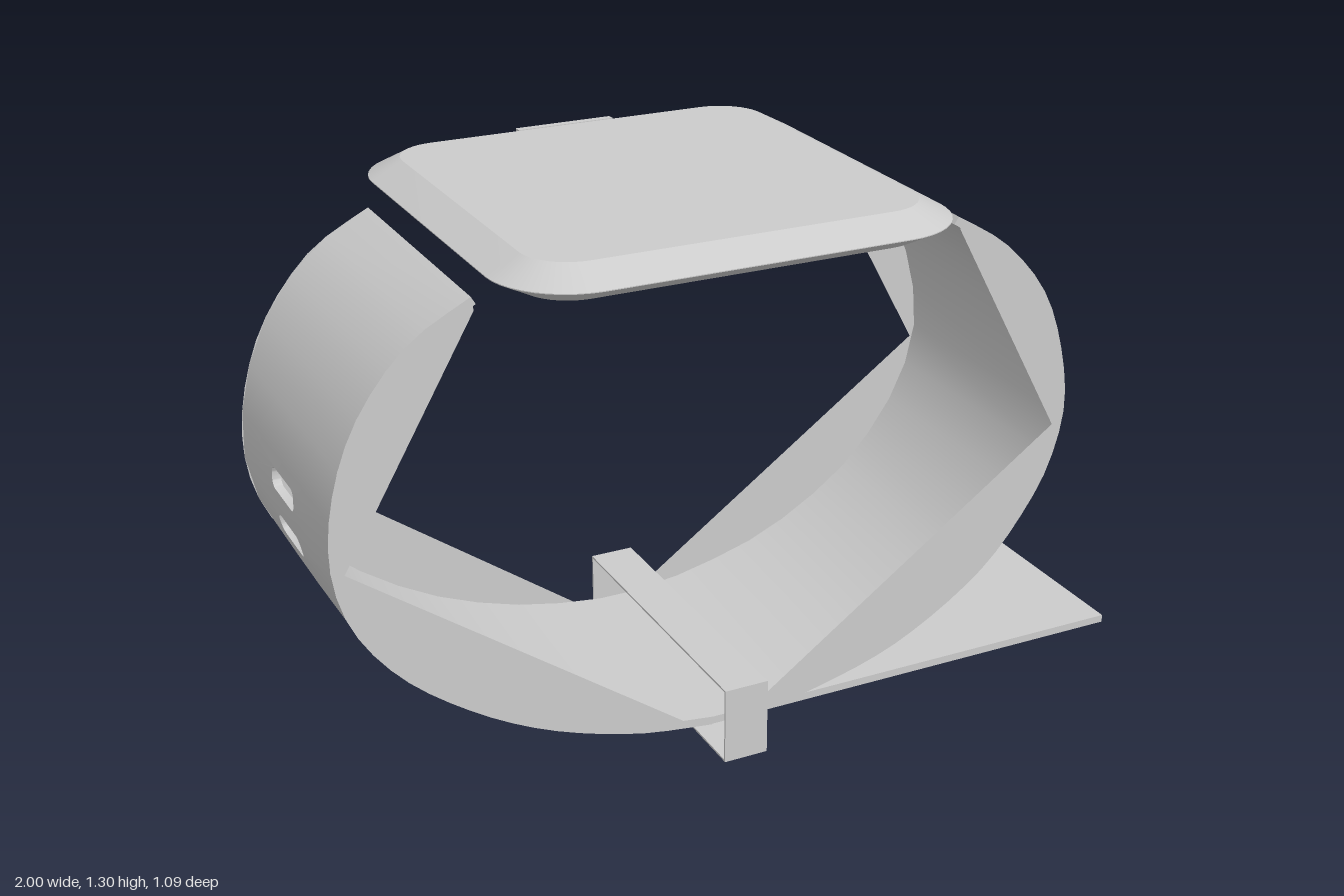
import * as THREE from 'three';
import { mergeGeometries, toCreasedNormals } from 'three/addons/utils/BufferGeometryUtils.js';

const material = new THREE.MeshStandardMaterial({ color: 0xcccccc, side: THREE.DoubleSide });
const STRAP_Z = 0.055, STRAP_HALF = 0.322, THICK = 0.02;

function add(parent, name, geometry) {
  const mesh = new THREE.Mesh(geometry, material);
  mesh.name = name;
  parent.add(mesh);
  return mesh;
}

// box given by its minimum and maximum corners
function box(parent, name, [x0, y0, z0], [x1, y1, z1]) {
  const mesh = add(parent, name, new THREE.BoxGeometry(x1 - x0, y1 - y0, z1 - z0));
  mesh.position.set((x0 + x1) / 2, (y0 + y1) / 2, (z0 + z1) / 2);
}

function roundedRect(path, x0, y0, x1, y1, r) {
  path.moveTo(x0 + r, y0);
  path.lineTo(x1 - r, y0);
  path.absarc(x1 - r, y0 + r, r, -Math.PI / 2, 0);
  path.lineTo(x1, y1 - r);
  path.absarc(x1 - r, y1 - r, r, 0, Math.PI / 2);
  path.lineTo(x0 + r, y1);
  path.absarc(x0 + r, y1 - r, r, Math.PI / 2, Math.PI);
  path.lineTo(x0, y0 + r);
  path.absarc(x0 + r, y0 + r, r, Math.PI, Math.PI * 1.5);
  return path;
}

// the band drifts slightly backwards towards its bottom
const drift = (y) => -0.012 * (1 - y / 1.23);

// curved band made of short bent cells, some of them with a slot
function band(curve, cells, hasSlot) {
  const length = curve.getLength(), step = length / cells, parts = [];
  for (let i = 0; i < cells; i++) {
    const u0 = i * step, mid = u0 + step / 2;
    const shape = new THREE.Shape([
      new THREE.Vector2(u0, -STRAP_HALF), new THREE.Vector2(u0 + step, -STRAP_HALF),
      new THREE.Vector2(u0 + step, STRAP_HALF), new THREE.Vector2(u0, STRAP_HALF),
    ]);
    if (hasSlot(i)) {
      shape.holes.push(roundedRect(new THREE.Path(), mid - 0.026, -0.08, mid + 0.026, 0.08, 0.02));
    }
    parts.push(new THREE.ExtrudeGeometry(shape, { depth: THICK, bevelEnabled: false, curveSegments: 4 }));
  }
  const geometry = mergeGeometries(parts);
  const pos = geometry.attributes.position;
  for (let i = 0; i < pos.count; i++) {
    const t = THREE.MathUtils.clamp(pos.getX(i) / length, 0, 1);
    const p = curve.getPointAt(t), d = curve.getTangentAt(t), depth = pos.getZ(i);
    const x = p.x - d.y * depth, y = p.y + d.x * depth;
    pos.setXYZ(i, x, y, STRAP_Z - pos.getY(i) + drift(y));
  }
  return toCreasedNormals(geometry, 0.5);
}

// flat web between the band edge and its inner chords
function web(curve, chord, z) {
  const pts = [...curve.getSpacedPoints(32), ...chord.map(([x, y]) => new THREE.Vector2(x, y))];
  const geometry = new THREE.ShapeGeometry(new THREE.Shape(pts));
  const pos = geometry.attributes.position;
  for (let i = 0; i < pos.count; i++) pos.setZ(i, z + drift(pos.getY(i)));
  return geometry;
}

function strap(name, points, chord, cells, hasSlot) {
  const group = new THREE.Group();
  group.name = name;
  const curve = new THREE.SplineCurve(points.map(([x, y]) => new THREE.Vector2(x, y)));
  add(group, 'band', band(curve, cells, hasSlot));
  add(group, 'frontWeb', web(curve, chord, STRAP_Z + STRAP_HALF + 0.001));
  add(group, 'backWeb', web(curve, chord, STRAP_Z - STRAP_HALF - 0.001));
  return group;
}

export function createModel() {
  const model = new THREE.Group();
  model.name = 'wristwatch';

  // case: rounded square with one bevel above and one below its rim
  const outline = roundedRect(new THREE.Shape(), -0.555, -0.467, 0.375, 0.462, 0.11);
  const caseGeometry = new THREE.ExtrudeGeometry(outline, {
    depth: 0.002, bevelThickness: 0.04, bevelSize: 0.075, bevelSegments: 1, curveSegments: 5,
  });
  caseGeometry.rotateX(-Math.PI / 2);
  caseGeometry.translate(0, 1.259, 0);
  add(model, 'case', toCreasedNormals(caseGeometry, 0.38));
  box(model, 'sideButton', [-0.195, 1.26, -0.549], [0.055, 1.282, -0.53]);

  // strap with adjustment slots
  model.add(strap('slottedStrap',
    [[-0.67, 1.23], [-0.82, 1.14], [-0.944, 0.97], [-1, 0.755], [-0.976, 0.567],
      [-0.874, 0.406], [-0.714, 0.273], [-0.527, 0.17], [-0.31, 0.1], [-0.115, 0.072]],
    [[-0.115, 0.092], [-0.18, 0.095], [-0.97, 0.665], [-0.665, 1.2]],
    16, (i) => i >= 5 && i <= 10));

  // plain strap, ending at the buckle
  model.add(strap('plainStrap',
    [[0, 0.075], [0.147, 0.095], [0.38, 0.165], [0.6, 0.3], [0.73, 0.45],
      [0.8, 0.59], [0.82, 0.755], [0.757, 0.98], [0.635, 1.135], [0.49, 1.23]],
    [[0.495, 1.2], [0.79, 0.665], [0, 0.1]],
    16, () => false));

  // free end of the strap lying flat through the buckle
  box(model, 'strapTail', [-0.115, 0.07, -0.283], [1, 0.089, 0.362]);

  // buckle: thin rectangular loop
  const buckle = new THREE.Group();
  buckle.name = 'buckle';
  const t = 0.005, back = -0.33, front = 0.425;
  box(buckle, 'buckleTop', [-0.11, 0.19 - t, back], [0, 0.19, front]);
  box(buckle, 'buckleBottom', [-0.11, 0, back], [0, t, front]);
  box(buckle, 'buckleFront', [-0.11, t, front - t], [0, 0.19 - t, front]);
  box(buckle, 'buckleBack', [-0.11, t, back], [0, 0.19 - t, back + t]);
  model.add(buckle);

  return model;
}
